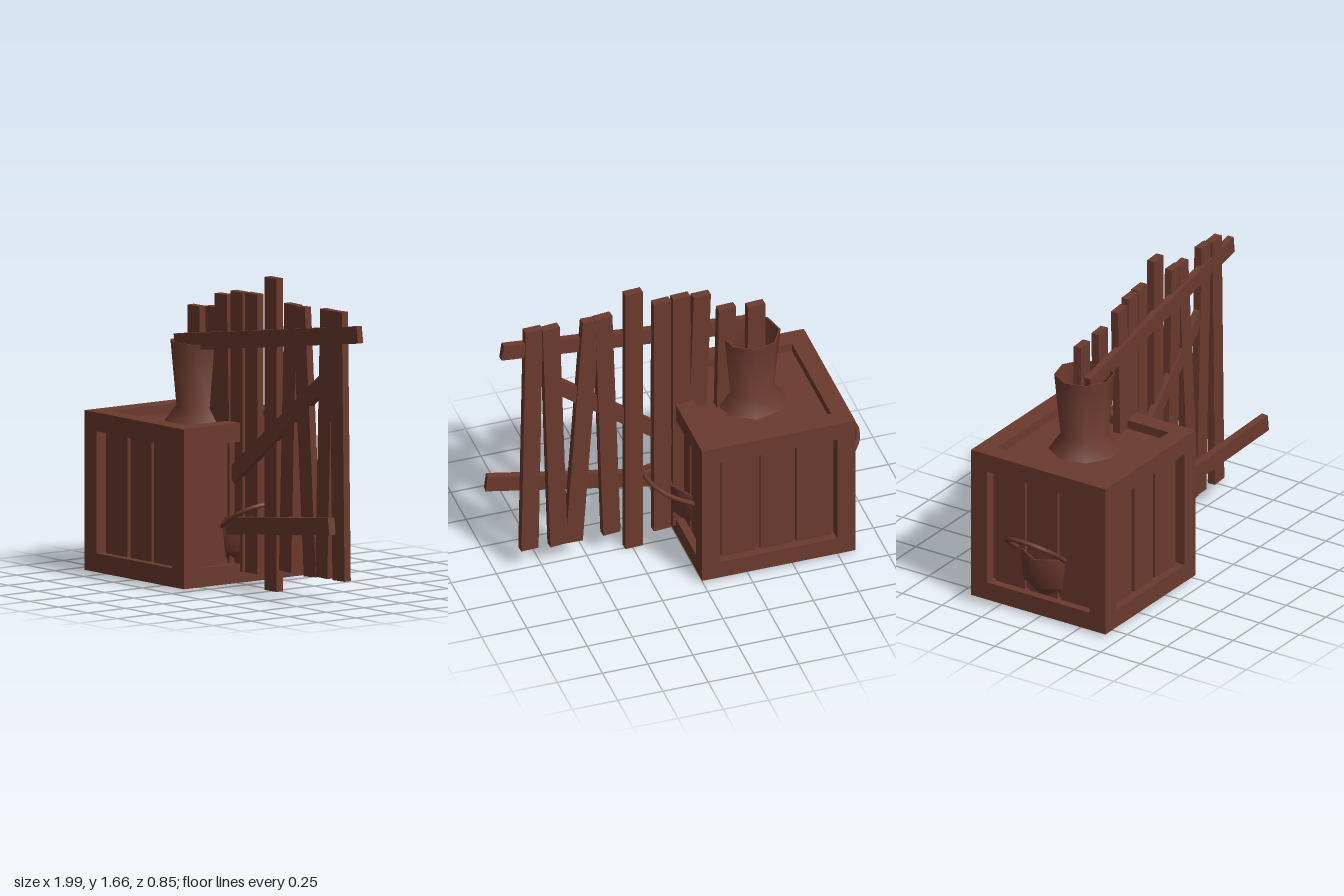
import * as THREE from 'three';
import { toCreasedNormals } from 'three/addons/utils/BufferGeometryUtils.js';

const wood = new THREE.MeshStandardMaterial({ color: 0x6b3a2e });
const vessel = new THREE.MeshStandardMaterial({ color: 0x6b3a2e, side: THREE.DoubleSide });
const CX = -0.418, CY = 0.44, S = 0.847, T = 0.1; // crate centre, size and frame width

function add(parent, name, geometry, material = wood) {
  const mesh = new THREE.Mesh(geometry, material);
  mesh.name = name;
  parent.add(mesh);
  return mesh;
}

function group(parent, name) {
  const g = new THREE.Group();
  g.name = name;
  parent.add(g);
  return g;
}

// Board running from point a to point b, its broad face turned with the fence line
function board(parent, name, a, b, width, thick) {
  const p = new THREE.Vector3(...a), q = new THREE.Vector3(...b);
  const x = q.clone().sub(p), len = x.length();
  x.normalize();
  const z = new THREE.Vector3(0.06, 0, 1);
  z.addScaledVector(x, -x.dot(z)).normalize();
  const y = z.clone().cross(x);
  const mesh = add(parent, name, new THREE.BoxGeometry(len, width, thick));
  mesh.quaternion.setFromRotationMatrix(new THREE.Matrix4().makeBasis(x, y, z));
  mesh.position.copy(p.add(q).multiplyScalar(0.5));
}

// Turned vessel with few sides, smooth around and sharp at the rim
function turned(parent, name, profile, sides, phase) {
  const pts = profile.map(([r, y]) => new THREE.Vector2(r, y));
  const geo = new THREE.LatheGeometry(pts, sides, phase);
  return add(parent, name, toCreasedNormals(geo, 1.1), vessel);
}

function buildCrate(parent) {
  const crate = group(parent, 'crate');
  crate.position.set(CX, CY, 0);
  add(crate, 'core', new THREE.BoxGeometry(0.72, 0.75, 0.72));
  // Frame: four posts and eight rails
  const e = (S - T) / 2, inner = S - 2 * T;
  for (const i of [-1, 1]) for (const j of [-1, 1]) {
    add(crate, 'framePost', new THREE.BoxGeometry(T, S, T)).position.set(i * e, 0, j * e);
    add(crate, 'frameRailX', new THREE.BoxGeometry(inner, T, T)).position.set(0, i * e, j * e);
    add(crate, 'frameRailZ', new THREE.BoxGeometry(T, T, inner)).position.set(i * e, j * e, 0);
  }
  // Three recessed planks of uneven width on each upright side
  for (let s = 0; s < 4; s++) {
    const side = group(crate, 'plankedSide');
    side.rotation.y = s * Math.PI / 2;
    for (const [x, w] of [[-0.207, 0.187], [0.003, 0.176], [0.207, 0.19]])
      add(side, 'plank', new THREE.BoxGeometry(w, 0.66, 0.03)).position.set(x, 0, 0.364);
  }
}

// Eight-sided thin-walled jar standing in the crate
function buildJar(parent) {
  const jar = turned(parent, 'jar', [
    [0, 0.045], [0.09, 0.04], [0.11, 0.017], [0.26, 0.066], [0.31, 0.3], [0.29, 0.6],
    [0.19, 0.818], [0.127, 0.9], [0.16, 1.247], [0.152, 1.247], [0.118, 0.9], [0.17, 0.82], [0.18, 0.8],
  ], 8, -0.15);
  jar.position.x = -0.404;
}

// Six-sided bucket with a handle swung out to one side
function buildBucket(parent, name, x, dir, pivotY, tip) {
  const bucket = group(parent, name);
  bucket.position.x = x;
  turned(bucket, 'bucketBody', [
    [0, 0.13], [0.1, 0.13], [0.148, 0.18], [0.16, 0.352], [0.15, 0.352], [0.138, 0.19], [0, 0.17],
  ], 6, Math.PI / 2);
  const r = 0.148, len = Math.hypot(...tip), pts = [];
  const at = (u, z) => pts.push(new THREE.Vector3(dir * u * tip[0] / len, pivotY + u * tip[1] / len, z - 0.011));
  at(0, r);
  at((len - r) / 2, r);
  for (let i = 0; i <= 10; i++) {
    const a = i / 10 * Math.PI;
    at(len - r + r * Math.sin(a), r * Math.cos(a));
  }
  at((len - r) / 2, -r);
  at(0, -r);
  add(bucket, 'bucketHandle', new THREE.TubeGeometry(new THREE.CatmullRomCurve3(pts), 32, 0.013, 6));
}

function buildFence(parent) {
  const fence = group(parent, 'fence');
  // Pickets: top x, top y, bottom x, bottom y, z
  const pickets = [
    [-0.43, 1.43, -0.43, 0.1, 0], [-0.27, 1.445, -0.245, 0.1, 0.005],
    [-0.144, 1.53, -0.1, 0.08, 0.043], [-0.026, 1.556, -0.026, 0.075, 0.03],
    [0.085, 1.558, 0.085, 0.075, 0.018], [0.243, 1.66, 0.243, 0, 0.012],
    [0.411, 1.54, 0.366, 0.118, 0.012], [0.48, 1.535, 0.575, 0.115, 0.01],
    [0.705, 1.545, 0.662, 0.12, 0.002], [0.796, 1.548, 0.82, 0.123, 0.01],
  ];
  for (const [tx, ty, bx, by, z] of pickets)
    board(fence, 'picket', [bx, by, z], [tx, ty, z], 0.097, 0.043);
  board(fence, 'topRail', [-0.495, 1.235, 0.08], [0.97, 1.444, 0.005], 0.09, 0.036);
  board(fence, 'diagonalBrace', [-0.05, 0.575, 0.055], [0.7, 1.182, 0.002], 0.083, 0.036);
  board(fence, 'looseBottomRail', [-0.03, 0.32, 0.1], [0.99, 0.45, 0.207], 0.09, 0.04);
}

export function createModel() {
  const model = new THREE.Group();
  model.name = 'fenceCrateAndBuckets';
  buildCrate(model);
  buildJar(model);
  buildBucket(model, 'leftBucket', -0.12, 1, 0.275, [0.3, 0.175]);
  buildBucket(model, 'rightBucket', -0.72, -1, 0.29, [0.264, 0.207]);
  buildFence(model);
  return model;
}
